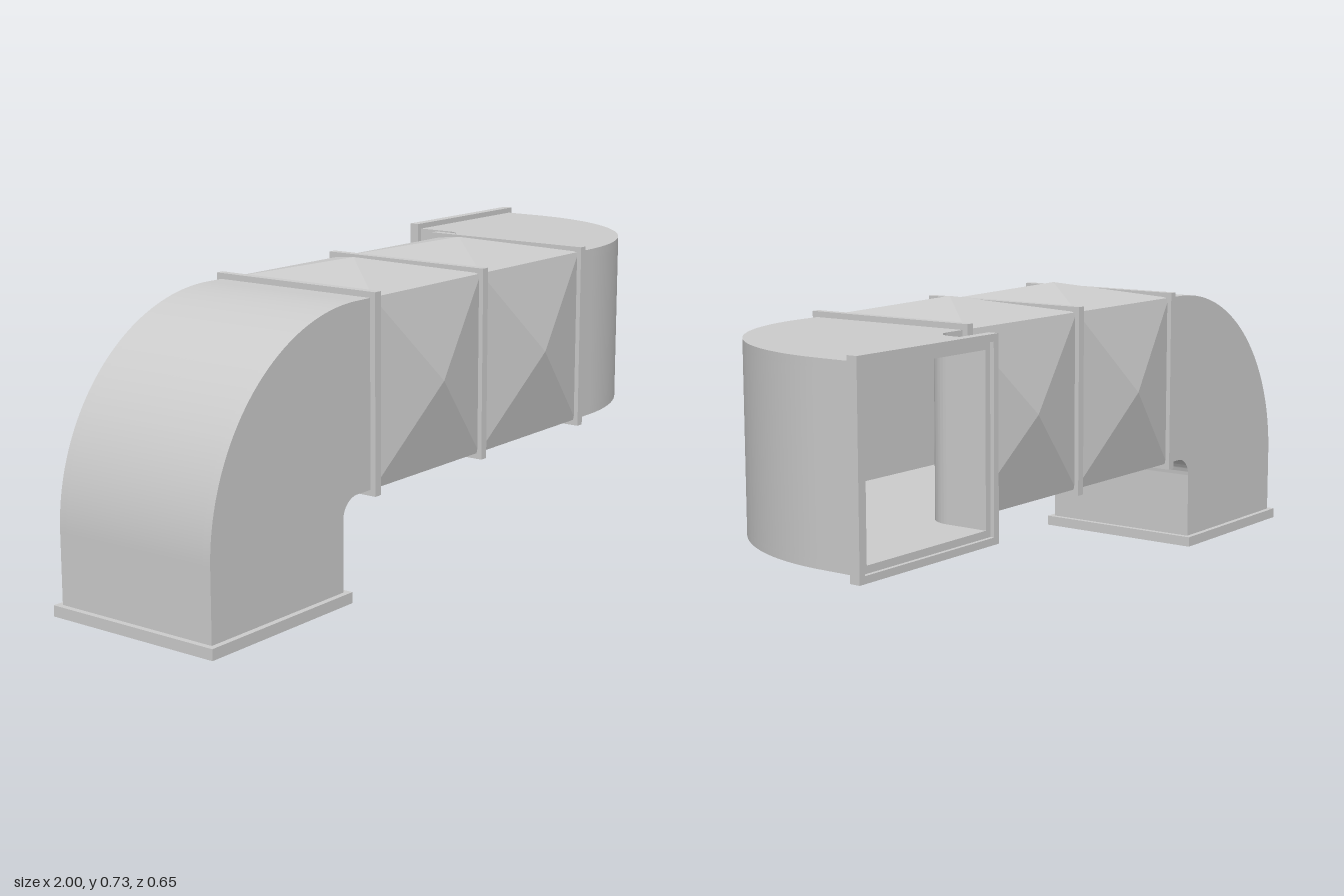
import * as THREE from 'three';
import { toCreasedNormals } from 'three/addons/utils/BufferGeometryUtils.js';

const HALF = 0.22;        // half width of the square duct
const WALL = 0.02;        // sheet thickness
const FLANGE = 0.234;     // half width of the flanges
const AXIS_Y = 0.4625, AXIS_Z = 0.063;
const JOINTS = [-0.435, -0.0125, 0.43];
const BEND_X = 0.495, INNER_R = 0.05, OUTER_R = INNER_R + 2 * HALF;

const material = new THREE.MeshStandardMaterial({ color: 0xcccccc });

function addMesh(parent, name, geometry) {
  const mesh = new THREE.Mesh(toCreasedNormals(geometry, 0.4), material);
  mesh.name = name;
  parent.add(mesh);
  return mesh;
}

function extrude(shape, depth) {
  return new THREE.ExtrudeGeometry(shape, { depth, bevelEnabled: false, curveSegments: 32 })
    .translate(0, 0, -depth / 2);
}

function square(path, h) {
  path.moveTo(-h, -h).lineTo(h, -h).lineTo(h, h).lineTo(-h, h).closePath();
  return path;
}

// Square frame centred on the origin, running along z
function frame(outer, inner, depth) {
  const shape = square(new THREE.Shape(), outer);
  shape.holes.push(square(new THREE.Path(), inner));
  return extrude(shape, depth);
}

// Side profile of a quarter bend between two radii, with straight ends
function bendProfile(r0, r1, end) {
  const cx = BEND_X, cy = -HALF - INNER_R, x0 = 0.43;
  return new THREE.Shape()
    .moveTo(x0, cy + r1)
    .lineTo(cx, cy + r1)
    .absarc(cx, cy, r1, Math.PI / 2, 0, true)
    .lineTo(cx + r1, -end)
    .lineTo(cx + r0, -end)
    .lineTo(cx + r0, cy)
    .absarc(cx, cy, r0, 0, Math.PI / 2, false)
    .lineTo(x0, cy + r0);
}

// Elbow leaving along +x and turning down to y = -end
function elbow(name, end) {
  const group = new THREE.Group();
  group.name = name;
  const ductEnd = end - 0.01;
  for (const side of [-1, 1]) {
    const cheek = extrude(bendProfile(INNER_R, OUTER_R, ductEnd), WALL);
    addMesh(group, 'elbowCheek', cheek.translate(0, 0, side * (HALF - WALL / 2)));
  }
  const span = 2 * (HALF - WALL);
  addMesh(group, 'elbowInnerWall', extrude(bendProfile(INNER_R, INNER_R + WALL, ductEnd), span));
  addMesh(group, 'elbowOuterWall', extrude(bendProfile(OUTER_R - WALL, OUTER_R, ductEnd), span));
  const rim = addMesh(group, 'endFlange', frame(FLANGE, 0.217, 0.026).rotateX(Math.PI / 2));
  rim.position.set(BEND_X + INNER_R + HALF, -end + 0.013, 0);
  return group;
}

// Straight section with a shallow pyramid pressed into each of its four sides
function straightSection(x0, x1) {
  const group = new THREE.Group();
  group.name = 'straightSection';
  const length = x1 - x0, rise = 0.045;
  addMesh(group, 'ductWall', frame(HALF - 0.001, HALF - WALL, length).rotateY(Math.PI / 2));
  for (let i = 0; i < 4; i++) {
    const panel = new THREE.ConeGeometry(Math.SQRT2, 1, 4, 1, true).rotateY(Math.PI / 4)
      .scale(length / 2, rise, HALF)
      .translate(0, HALF + rise / 2, 0)
      .rotateX(i * Math.PI / 2);
    // every crease of the panel stays sharp
    const flat = panel.toNonIndexed();
    flat.computeVertexNormals();
    const mesh = new THREE.Mesh(flat, material);
    mesh.name = 'pyramidPanel';
    group.add(mesh);
  }
  group.position.x = (x0 + x1) / 2;
  return group;
}

export function createModel() {
  const model = new THREE.Group();
  model.name = 'ventilationDuct';
  const duct = new THREE.Group();
  duct.name = 'duct';
  duct.position.set(0, AXIS_Y, AXIS_Z);
  model.add(duct);

  // Middle run and its joint flanges
  duct.add(straightSection(JOINTS[0], JOINTS[1]), straightSection(JOINTS[1], JOINTS[2]));
  for (const x of JOINTS) {
    addMesh(duct, 'jointFlange', frame(FLANGE, HALF - WALL, 0.021).rotateY(Math.PI / 2)).position.x = x;
  }

  // One elbow turns down to the ground, the other turns to the back
  const down = elbow('downElbow', AXIS_Y);
  down.rotation.y = Math.PI;
  const back = elbow('backElbow', 0.326 + AXIS_Z);
  back.rotation.x = Math.PI / 2;
  duct.add(down, back);
  return model;
}
